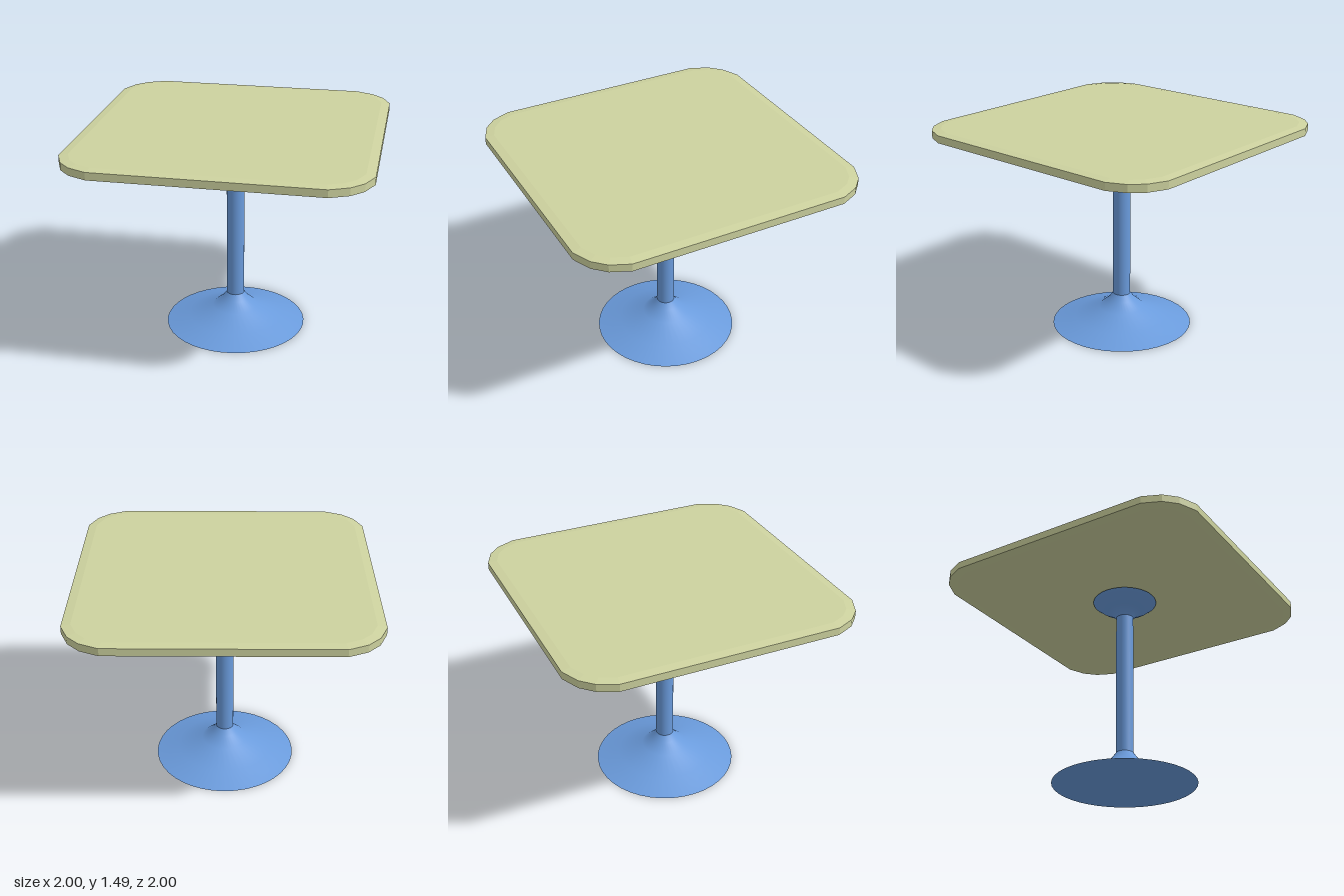
import * as THREE from 'three';

const SEGMENTS = 40;

export function createModel() {
  const model = new THREE.Group();
  const topMaterial = new THREE.MeshStandardMaterial({ color: 0xcdd29f });
  const metal = new THREE.MeshStandardMaterial({ color: 0x6a9bdc });

  // Square top with faceted round corners and a slightly crowned rim
  const corner = [[1, 0.74], [0.945, 0.865], [0.865, 0.945], [0.74, 1]];
  const outline = [];
  for (let i = 0; i < 4; i++) {
    for (const [x, y] of corner) {
      outline.push(new THREE.Vector2(x, y).rotateAround(new THREE.Vector2(), i * Math.PI / 2));
    }
  }
  const bevel = 0.008, rim = 0.052;
  const topGeometry = new THREE.ExtrudeGeometry(new THREE.Shape(outline), {
    depth: rim, bevelThickness: bevel, bevelSize: 0.06, bevelOffset: -0.06, bevelSegments: 1,
  });
  topGeometry.rotateX(-Math.PI / 2);
  const top = new THREE.Mesh(topGeometry, topMaterial);
  top.name = 'tableTop';
  top.position.y = 1.418 + bevel;
  model.add(top);

  // Pedestal: separate turned sections keep the joints between them sharp
  const turned = (name, profile) => {
    const points = profile.map(([r, y]) => new THREE.Vector2(r, y));
    const mesh = new THREE.Mesh(new THREE.LatheGeometry(points, SEGMENTS), metal);
    mesh.name = name;
    model.add(mesh);
  };
  turned('baseUnderside', [[0, 0], [0.5, 0]]);
  turned('baseFlare', [[0.5, 0], [0.34, 0.05], [0.165, 0.12], [0.095, 0.18], [0.062, 0.225]]);
  turned('column', [[0.062, 0.225], [0.062, 1.28]]);
  turned('topCollar', [[0.062, 1.28], [0.085, 1.31], [0.12, 1.335], [0.19, 1.377], [0.23, 1.41]]);
  turned('collarCap', [[0.23, 1.41], [0, 1.41]]);

  return model;
}
